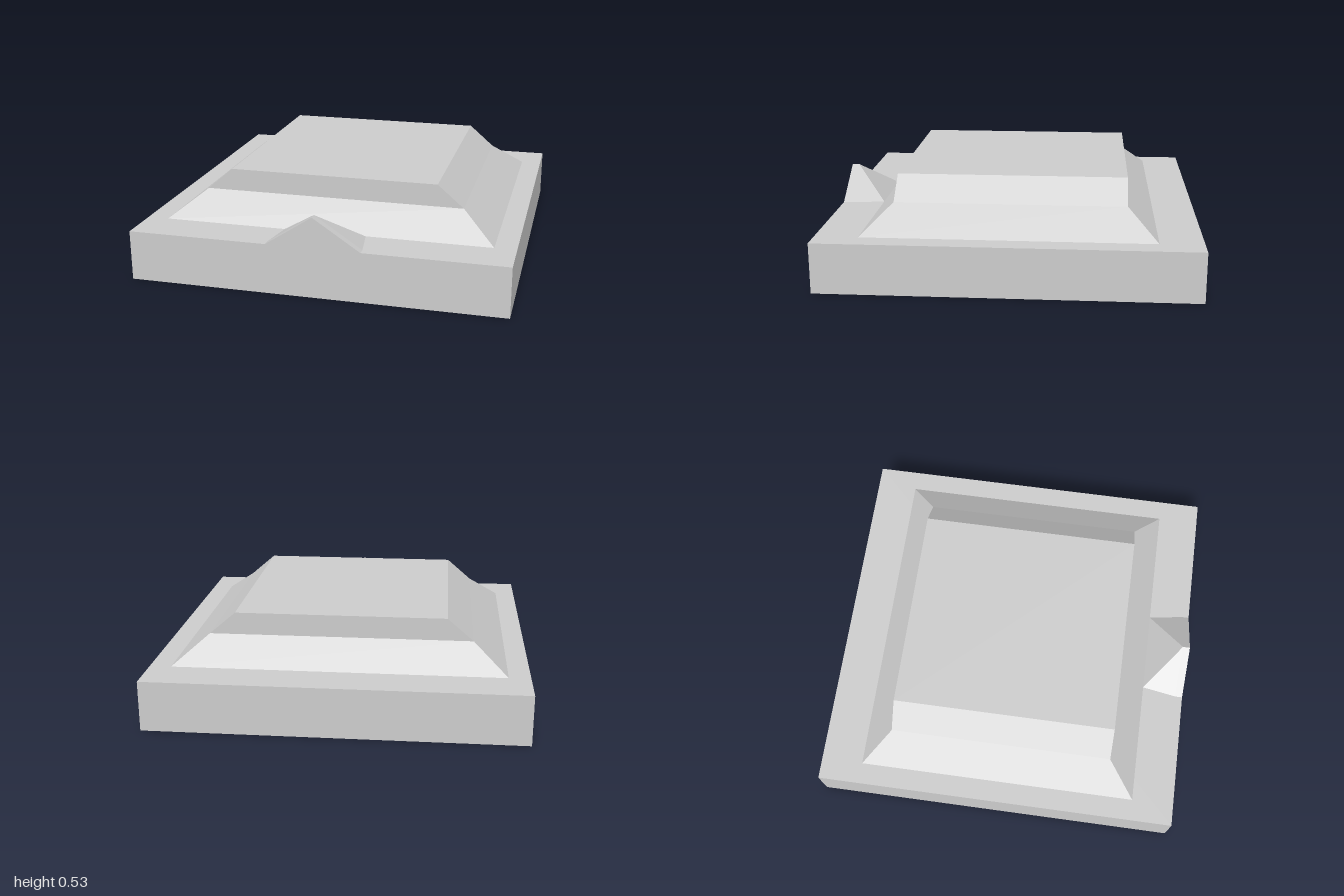
import * as THREE from 'three';

const material = new THREE.MeshStandardMaterial({ color: 0xcccccc, flatShading: true });

function addMesh(group, name, geometry) {
  const mesh = new THREE.Mesh(geometry, material);
  mesh.name = name;
  group.add(mesh);
  return mesh;
}

function fromTriangles(points) {
  const geometry = new THREE.BufferGeometry().setFromPoints(points);
  geometry.computeVertexNormals();
  return geometry;
}

// Stacks rectangular rings [halfWidth, y, halfDepth] and caps the top
function rectLoft(rings) {
  const corners = rings.map(([x, y, z]) =>
    [[1, 1], [1, -1], [-1, -1], [-1, 1]].map(([sx, sz]) => new THREE.Vector3(sx * x, y, sz * z)));
  const points = [];
  for (let r = 0; r < corners.length - 1; r++) {
    for (let i = 0; i < 4; i++) {
      const j = (i + 1) % 4;
      const [a, b, c, d] = [corners[r][i], corners[r][j], corners[r + 1][j], corners[r + 1][i]];
      points.push(a, b, c, a, c, d);
    }
  }
  const [a, b, c, d] = corners.at(-1);
  points.push(a, b, c, a, c, d);
  return fromTriangles(points);
}

export function createModel() {
  const group = new THREE.Group();
  group.name = 'roof';
  const baseTop = 0.27;
  const apexY = 0.435;

  // Square slab
  addMesh(group, 'base', new THREE.BoxGeometry(2, baseTop, 2)).position.y = baseTop / 2;

  // Hipped lower roof with upright ends above it
  addMesh(group, 'raisedRoof', rectLoft([
    [0.885, baseTop, 0.77],
    [0.705, 0.41, 0.615],
    [0.565, 0.53, 0.615],
  ]));

  // Thin triangular gable on the front edge
  const triangle = new THREE.Shape();
  triangle.moveTo(-0.25, baseTop);
  triangle.lineTo(0.25, baseTop);
  triangle.lineTo(0, apexY);
  const gable = new THREE.ExtrudeGeometry(triangle, { depth: 0.04, bevelEnabled: false });
  addMesh(group, 'frontGable', gable).position.z = 0.96;

  // Sloped back of the gable, falling to the foot of the roof
  const apex = new THREE.Vector3(0, apexY, 0.96);
  const foot = [[0.25, 0.96], [0.22, 0.77], [-0.22, 0.77], [-0.25, 0.96]]
    .map(([x, z]) => new THREE.Vector3(x, baseTop, z));
  const fan = [];
  for (let i = 0; i < 3; i++) fan.push(apex, foot[i], foot[i + 1]);
  addMesh(group, 'gableBack', fromTriangles(fan));

  return group;
}
